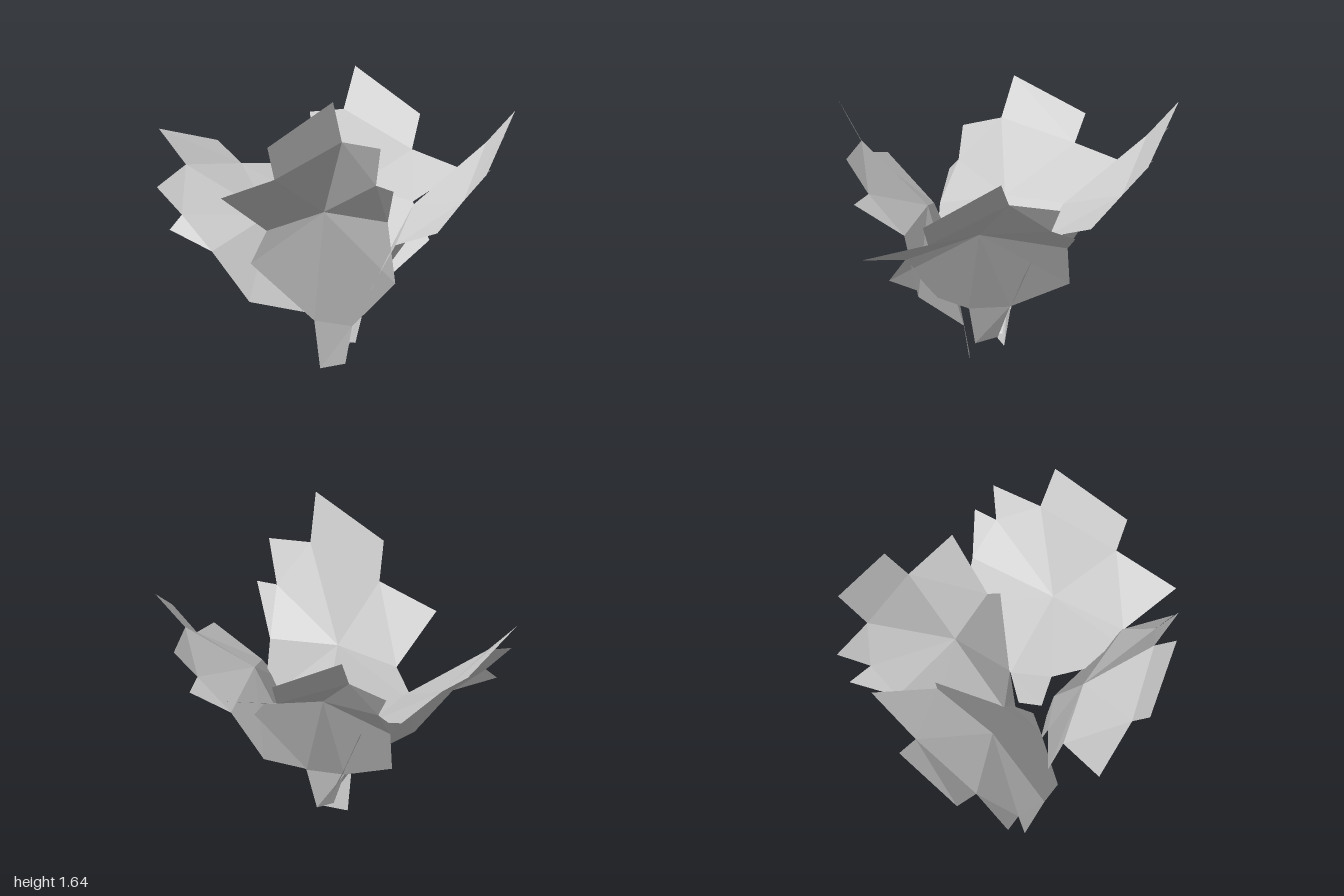
import * as THREE from 'three';

// Each leaf: centre point, then its outline from the left of the stem foot
// round the lobes to the right of the stem foot.
const LEAVES = {
  frontRightLeaf: [
    [-0.23, 0.94, 0.30],
    [-0.15, 0.01, 0.07], [-0.20, 0.29, 0.10], [-0.54, 0.62, -0.02], [-0.49, 0.82, 0.09],
    [-0.82, 1.04, 0.19], [-0.61, 1.17, 0.46], [-0.69, 1.37, 0.54], [-0.40, 1.65, 0.80],
    [-0.30, 1.40, 0.70], [-0.15, 1.38, 0.90], [-0.12, 1.15, 0.77], [-0.07, 1.13, 0.90],
    [0.02, 0.91, 0.62], [0.09, 0.55, 0.57], [-0.01, 0.26, 0.20], [-0.03, 0.04, 0.15],
  ],
  frontLeftLeaf: [
    [0.32, 0.95, 0.31],
    [0.00, 0.14, 0.13], [0.06, 0.39, 0.21], [-0.06, 0.62, 0.67], [0.06, 0.78, 0.64],
    [0.16, 0.89, 0.99], [0.44, 1.02, 0.73], [0.54, 1.18, 0.83], [0.86, 1.48, 0.51],
    [0.74, 1.29, 0.38], [0.95, 1.28, 0.17], [0.81, 1.10, 0.14], [0.92, 1.07, 0.05],
    [0.70, 0.92, -0.04], [0.55, 0.63, -0.15], [0.16, 0.39, 0.00], [0.05, 0.17, 0.01],
  ],
  backLeftLeaf: [
    [0.25, 0.98, -0.30],
    [0.10, 0.13, 0.00], [0.17, 0.39, 0.00], [0.50, 0.71, 0.13], [0.47, 0.91, -0.03],
    [0.82, 1.06, -0.12], [0.65, 1.14, -0.44], [0.75, 1.32, -0.55], [0.51, 1.56, -0.91],
    [0.38, 1.34, -0.78], [0.27, 1.30, -1.00], [0.21, 1.11, -0.82], [0.17, 1.07, -0.96],
    [0.06, 0.90, -0.71], [-0.06, 0.57, -0.54], [-0.02, 0.35, -0.10], [0.00, 0.14, -0.02],
  ],
  backRightLeaf: [
    [-0.31, 0.85, -0.27],
    [0.04, 0.18, -0.03], [0.01, 0.42, -0.15], [0.11, 0.80, -0.47], [0.04, 0.87, -0.48],
    [0.08, 1.04, -0.86], [-0.28, 1.08, -0.72], [-0.37, 1.20, -0.85], [-0.82, 1.32, -0.66],
    [-0.72, 1.13, -0.51], [-0.95, 1.03, -0.40], [-0.84, 0.88, -0.30], [-0.92, 0.80, -0.29],
    [-0.74, 0.69, -0.11], [-0.57, 0.41, 0.03], [-0.22, 0.33, 0.05], [-0.03, 0.15, 0.07],
  ],
};

// Folded blade around the centre, pointed lobes beyond it, and the stem strip
const INNER = [2, 3, 4, 6, 9, 11, 13, 14, 15, 2];
const LOBES = [[4, 5, 6], [6, 7, 8], [6, 8, 9], [9, 10, 11], [11, 12, 13]];
const STEM = [[1, 2, 15], [1, 15, 16]];

function leafGeometry(points) {
  const faces = [...LOBES, ...STEM];
  for (let i = 0; i < INNER.length - 1; i++) faces.push([0, INNER[i], INNER[i + 1]]);
  const corners = faces.flat().flatMap((i) => points[i]);
  const geometry = new THREE.BufferGeometry();
  geometry.setAttribute('position', new THREE.Float32BufferAttribute(corners, 3));
  geometry.computeVertexNormals();
  return geometry;
}

export function createModel() {
  const plant = new THREE.Group();
  plant.name = 'leafyPlant';
  const material = new THREE.MeshStandardMaterial({
    color: 0xcccccc, flatShading: true, side: THREE.DoubleSide,
  });
  for (const [name, points] of Object.entries(LEAVES)) {
    const leaf = new THREE.Mesh(leafGeometry(points), material);
    leaf.name = name;
    plant.add(leaf);
  }
  return plant;
}
